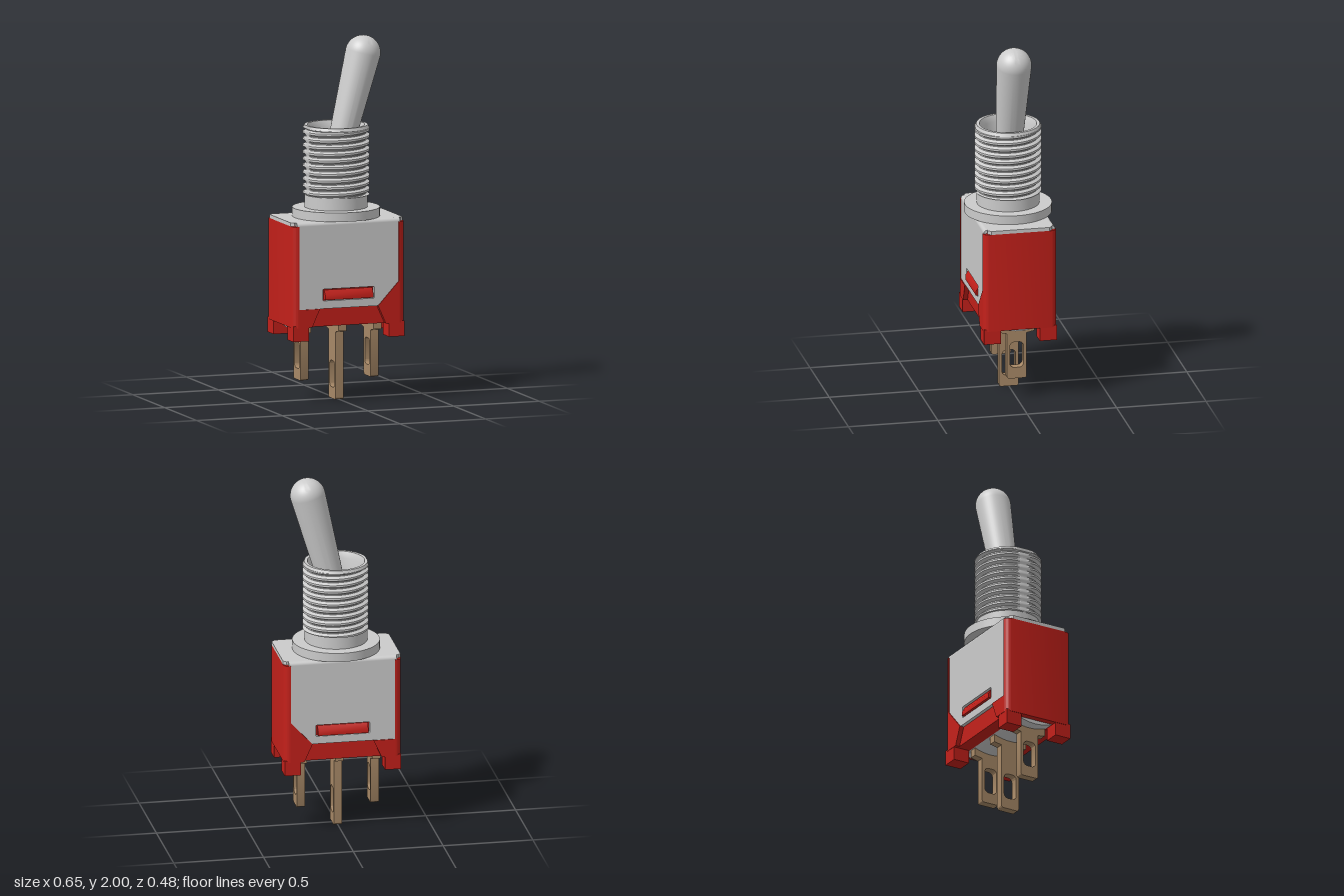
import * as THREE from 'three';
import { toCreasedNormals } from 'three/addons/utils/BufferGeometryUtils.js';

const grey = new THREE.MeshStandardMaterial({ color: 0xcccccc });
const red = new THREE.MeshStandardMaterial({ color: 0xc4201a });
const brass = new THREE.MeshStandardMaterial({ color: 0xa98a68 });
const vec = (pts) => pts.map(([x, y]) => new THREE.Vector2(x, y));

function add(parent, name, geometry, material, x = 0, y = 0, z = 0) {
  const mesh = new THREE.Mesh(geometry, material);
  mesh.name = name;
  mesh.position.set(x, y, z);
  parent.add(mesh);
  return mesh;
}

// Extrusion centred on its own thickness
function slab(shape, depth) {
  const g = new THREE.ExtrudeGeometry(shape, { depth, bevelEnabled: false, curveSegments: 10 });
  g.translate(0, 0, -depth / 2);
  return toCreasedNormals(g, 0.6);
}

function roundedRect(path, x0, y0, x1, y1, r) {
  path.moveTo(x0 + r, y0);
  path.lineTo(x1 - r, y0).absarc(x1 - r, y0 + r, r, -Math.PI / 2, 0);
  path.lineTo(x1, y1 - r).absarc(x1 - r, y1 - r, r, 0, Math.PI / 2);
  path.lineTo(x0 + r, y1).absarc(x0 + r, y1 - r, r, Math.PI / 2, Math.PI);
  path.lineTo(x0, y0 + r).absarc(x0 + r, y0 + r, r, Math.PI, Math.PI * 1.5);
  return path;
}

// Keyway flat on the -x side of the bushing
function cutFlat(g) {
  const p = g.attributes.position;
  for (let i = 0; i < p.count; i++) p.setX(i, Math.max(p.getX(i), -0.17));
  return toCreasedNormals(g, 0.5);
}

// Helical thread: each row of a cylinder is sheared up by one pitch per turn
function threadGeometry(y0, y1, turns) {
  const pitch = (y1 - y0) / turns;
  const steps = [[0, 0.166], [0.15, 0.166], [0.42, 0.184], [0.72, 0.184]];
  const rows = (turns + 1) * 4, segs = 72;
  const g = new THREE.CylinderGeometry(1, 1, 1, segs, rows, true);
  const p = g.attributes.position;
  for (let i = 0; i < p.count; i++) {
    const col = i % (segs + 1), row = rows - Math.floor(i / (segs + 1));
    const [f, r] = steps[row % 4];
    const y = y0 + pitch * (Math.floor(row / 4) + f - 1 + col / segs);
    const a = (col / segs) * Math.PI * 2;
    p.setXYZ(i, Math.sin(a) * r, THREE.MathUtils.clamp(y, y0, y1), Math.cos(a) * r);
  }
  return cutFlat(g);
}

function buildHousing(parent) {
  const housing = new THREE.Group();
  housing.name = 'housing';
  parent.add(housing);
  add(housing, 'housingCore', new THREE.BoxGeometry(0.6, 0.56, 0.36), red, 0, 0.71, 0);

  // End walls with rounded vertical corners
  const plan = new THREE.Shape();
  plan.moveTo(0.29, -0.205);
  plan.lineTo(0.292, -0.205).absarc(0.292, -0.17, 0.035, -Math.PI / 2, 0);
  plan.lineTo(0.327, 0.17).absarc(0.292, 0.17, 0.035, 0, Math.PI / 2);
  plan.lineTo(0.29, 0.205);
  const wall = slab(plan, 0.56).rotateX(Math.PI / 2);
  add(housing, 'leftEndWall', wall, red, 0, 0.71, 0);
  add(housing, 'rightEndWall', wall, red, 0, 0.71, 0).rotation.y = Math.PI;

  // Raised lower corners, feet and latch tabs on both faces
  const cornerA = new THREE.Shape(vec([[0.29, 0.43], [0.29, 0.66], [0.17, 0.53], [0.215, 0.43]]));
  const cornerB = new THREE.Shape(vec([[-0.29, 0.43], [-0.215, 0.43], [-0.17, 0.53], [-0.29, 0.53]]));
  const tabProfile = new THREE.Shape(vec([[0.17, 0.578], [0.209, 0.578], [0.209, 0.603], [0.19, 0.632], [0.17, 0.632]]));
  const tab = slab(tabProfile, 0.28).rotateY(-Math.PI / 2);
  for (const s of [1, -1]) {
    add(housing, 'chamferedCorner', slab(cornerA, 0.025), red, 0, 0, s * 0.1925);
    add(housing, 'squareCorner', slab(cornerB, 0.025), red, 0, 0, s * 0.1925);
    add(housing, 'latchTab', tab, red).rotation.y = s * Math.PI / 2 - Math.PI / 2;
    for (const x of [-0.279, 0.279])
      add(housing, 'foot', new THREE.BoxGeometry(0.09, 0.085, 0.095), red, x, 0.3975, s * 0.1555);
  }
  // The tab profile's first axis is turned to point along +z or -z
  housing.children.filter((m) => m.name === 'latchTab')
    .forEach((m, i) => { m.rotation.y = i * Math.PI; });

  // Bulging sealing compound under the housing
  const seal = new THREE.Shape();
  seal.moveTo(-0.11, 0.432);
  seal.quadraticCurveTo(0, 0.385, 0.11, 0.432);
  add(housing, 'baseSeal', slab(seal, 0.58).rotateY(Math.PI / 2), grey);
}

function buildBracket(parent) {
  const bracket = new THREE.Group();
  bracket.name = 'metalBracket';
  parent.add(bracket);
  const top = new THREE.Shape(vec([
    [0.31, -0.18], [0.327, -0.163], [0.327, 0.163], [0.31, 0.18],
    [-0.31, 0.18], [-0.327, 0.163], [-0.327, -0.163], [-0.31, -0.18]]));
  add(bracket, 'topPlate', slab(top, 0.02).rotateX(Math.PI / 2), grey, 0, 1.0, 0);

  const face = new THREE.Shape(vec([
    [-0.29, 0.53], [0.17, 0.53], [0.29, 0.66], [0.29, 0.99], [-0.29, 0.99]]));
  face.holes.push(roundedRect(new THREE.Path(), -0.15, 0.573, 0.15, 0.638, 0.006));
  for (const s of [1, -1]) {
    add(bracket, 'sidePlate', slab(face, 0.02), grey, 0, 0, s * 0.19);
    const bend = new THREE.CylinderGeometry(0.02, 0.02, 0.6, 24).rotateZ(Math.PI / 2);
    add(bracket, 'plateBend', bend, grey, 0, 0.99, s * 0.18);
  }
}

function buildBushing(parent) {
  const bushing = new THREE.Group();
  bushing.name = 'bushing';
  parent.add(bushing);
  add(bushing, 'flange', new THREE.CylinderGeometry(0.24, 0.24, 0.05, 72), grey, 0, 1.035, 0);
  const profile = vec([
    [0.172, 1.06], [0.172, 1.13], [0.164, 1.13], [0.164, 1.49], [0.182, 1.497], [0.174, 1.515],
    [0.157, 1.515], [0.142, 1.48], [0.142, 1.3], [0, 1.3]]);
  add(bushing, 'sleeve', cutFlat(new THREE.LatheGeometry(profile, 72)), grey);
  add(bushing, 'thread', threadGeometry(1.13, 1.5, 10), grey);
}

function buildLever(parent) {
  // Tapered stick with a rounded tip, leaning to +x
  const length = 0.625, r = 0.097;
  const pts = [[0, -0.02], [0.067, -0.02], [0.067, 0]];
  for (let i = 0; i <= 14; i++) {
    const a = (i / 14) * Math.PI / 2;
    pts.push([r * Math.cos(a), length + r * Math.sin(a)]);
  }
  const g = toCreasedNormals(new THREE.LatheGeometry(vec(pts), 48), 0.5);
  add(parent, 'lever', g, grey, 0, 1.298, 0).rotation.z = -0.254;
}

function buildTerminals(parent) {
  // Shouldered solder lugs with a rounded slot; the middle one is longest
  for (const [x, y] of [[-0.205, 0.115], [0, 0], [0.205, 0.115]]) {
    const lug = new THREE.Shape();
    lug.moveTo(-0.04, y);
    lug.lineTo(0.04, y);
    lug.quadraticCurveTo(0.055, y, 0.055, y + 0.015);
    lug.lineTo(0.055, 0.375);
    lug.lineTo(0.1, 0.385);
    lug.lineTo(0.1, 0.432);
    lug.lineTo(-0.1, 0.432);
    lug.lineTo(-0.1, 0.385);
    lug.lineTo(-0.055, 0.375);
    lug.lineTo(-0.055, y + 0.015);
    lug.quadraticCurveTo(-0.055, y, -0.04, y);
    lug.holes.push(roundedRect(new THREE.Path(), -0.038, y + 0.063, 0.038, y + 0.21, 0.025));
    add(parent, 'terminal', slab(lug, 0.046).rotateY(Math.PI / 2), brass, x, 0, 0);
  }
}

export function createModel() {
  const model = new THREE.Group();
  model.name = 'toggleSwitch';
  buildHousing(model);
  buildBracket(model);
  buildBushing(model);
  buildLever(model);
  buildTerminals(model);
  return model;
}
